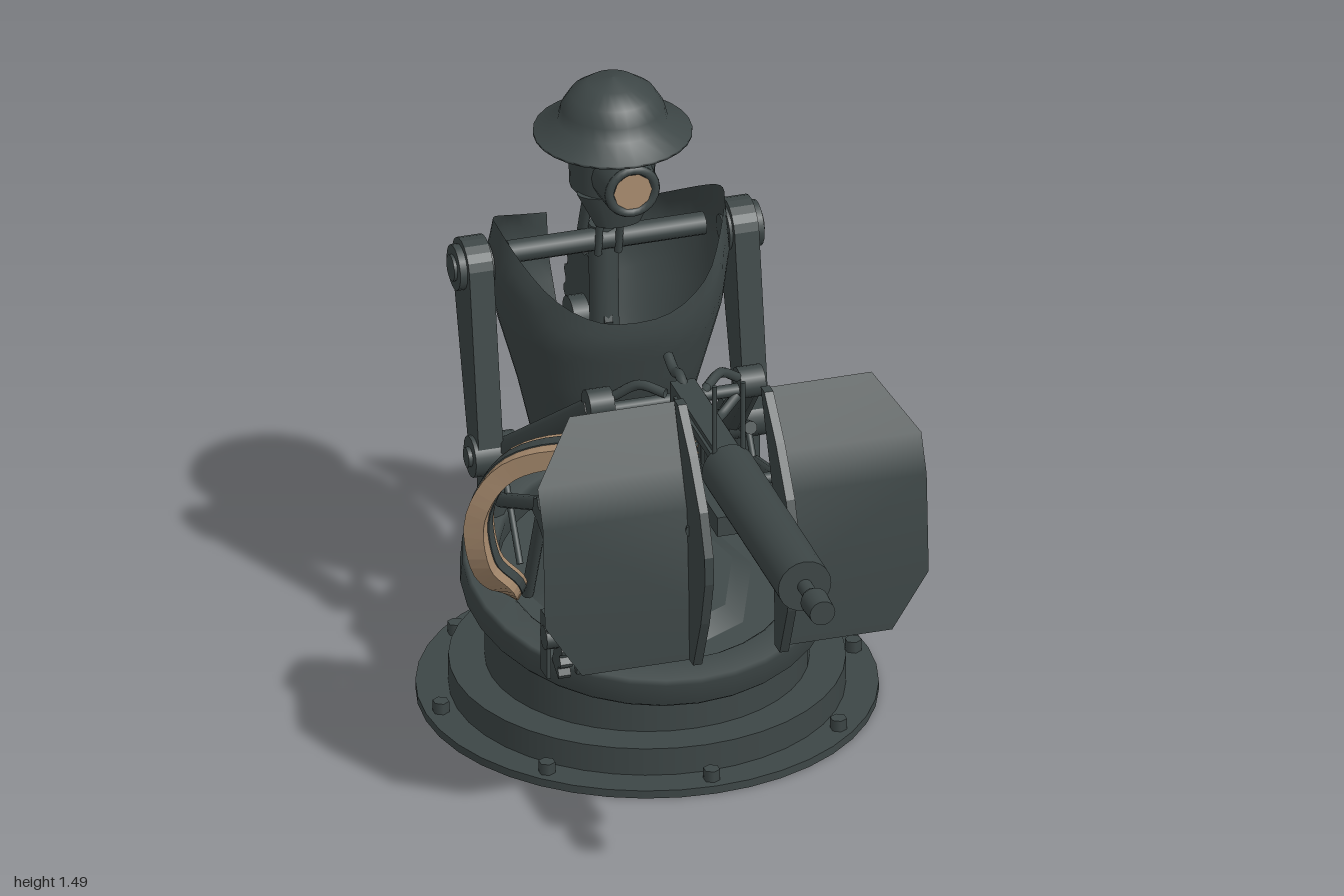
import * as THREE from 'three';

const V = (x, y, z) => new THREE.Vector3(x, y, z);

export function createModel() {
  const model = new THREE.Group();
  const iron = new THREE.MeshStandardMaterial({ color: 0x3d4646, side: THREE.DoubleSide });
  iron.name = 'dark iron';
  const tan = new THREE.MeshStandardMaterial({ color: 0xa98c6f, side: THREE.DoubleSide });
  tan.name = 'tan';

  const add = (name, geo, x = 0, y = 0, z = 0, mat = iron) => {
    const m = new THREE.Mesh(geo, mat);
    m.name = name;
    m.position.set(x, y, z);
    model.add(m);
    return m;
  };
  const box = (name, w, h, d, x, y, z) => add(name, new THREE.BoxGeometry(w, h, d), x, y, z);
  const rod = (name, a, b, r, r2 = r, n = 10) => {
    const m = add(name, new THREE.CylinderGeometry(r2, r, a.distanceTo(b), n));
    m.position.copy(a).lerp(b, 0.5);
    m.quaternion.setFromUnitVectors(V(0, 1, 0), b.clone().sub(a).normalize());
    return m;
  };
  const disc = (name, r, w, x, y, z, n = 18) => rod(name, V(x - w / 2, y, z), V(x + w / 2, y, z), r, r, n);
  const path = (name, pts, r) => add(name, new THREE.TubeGeometry(new THREE.CatmullRomCurve3(pts, false, 'centripetal'), 20, r, 8));
  // Side plate: outline in (z, y), thickness along x
  const plate = (name, pts, thick, x) => {
    const g = new THREE.ExtrudeGeometry(new THREE.Shape(pts.map(p => new THREE.Vector2(p[0], p[1]))), { depth: thick, bevelEnabled: false });
    g.translate(0, 0, -thick / 2).rotateY(-Math.PI / 2);
    return add(name, g, x);
  };
  // Tapered link outline around two (z, y) pivots
  const link = (name, a, ra, b, rb, thick, x) => {
    const dir = Math.atan2(b[1] - a[1], b[0] - a[0]), pts = [];
    for (const [c, r, start] of [[a, ra, Math.PI / 2], [b, rb, -Math.PI / 2]]) {
      for (let i = 0; i <= 10; i++) {
        const t = dir + start + i * Math.PI / 10;
        pts.push([c[0] + r * Math.cos(t), c[1] + r * Math.sin(t)]);
      }
    }
    return plate(name, pts, thick, x);
  };
  const arcTeeth = (c, ro, ri, from, to, teeth) => {
    const pts = [];
    for (let i = 0; i < teeth * 4; i++) {
      const t = from + (to - from) * i / (teeth * 4 - 1), r = i % 4 < 2 ? ro : ro - 0.014;
      pts.push([c[0] + r * Math.cos(t), c[1] + r * Math.sin(t)]);
    }
    if (ri) for (let i = 12; i >= 0; i--) {
      const t = from + (to - from) * i / 12;
      pts.push([c[0] + ri * Math.cos(t), c[1] + ri * Math.sin(t)]);
    }
    return pts;
  };

  // Base with bolts
  const cz = -0.375, tilt = 0.255;
  add('baseFlange', new THREE.CylinderGeometry(0.542, 0.542, 0.02, 40), 0, 0.01, cz);
  add('baseStep', new THREE.CylinderGeometry(0.465, 0.465, 0.07, 40), 0, 0.055, cz);
  for (let i = 0; i < 8; i++) {
    const t = i * Math.PI / 4;
    add('baseBolt', new THREE.CylinderGeometry(0.02, 0.02, 0.03, 6), 0.505 * Math.sin(t), 0.033, cz + 0.505 * Math.cos(t));
  }
  // Drum with sloping open rim
  const drum = new THREE.CylinderGeometry(0.38, 0.38, 0.2, 40, 1, true);
  const dp = drum.attributes.position;
  for (let i = 0; i < dp.count; i++) dp.setY(i, dp.getY(i) > 0 ? 0.315 - tilt * dp.getZ(i) : 0.08);
  add('drum', drum, 0, 0, cz);
  const slope = new THREE.Group();
  slope.name = 'slopingRing';
  slope.position.set(0, 0.315, cz);
  slope.rotation.x = Math.atan(tilt);
  model.add(slope);
  const ringProfile = [[0.35, -0.03], [0.36, -0.04], [0.43, -0.04], [0.438, -0.03], [0.438, 0.03], [0.43, 0.04], [0.36, 0.04], [0.35, 0.03], [0.35, -0.03]];
  slope.add(add('ring', new THREE.LatheGeometry(ringProfile.map(p => new THREE.Vector2(p[0], p[1])), 32)));
  slope.add(add('floor', new THREE.CylinderGeometry(0.37, 0.37, 0.02, 32), 0, -0.07, 0));
  slope.add(add('floorStep', new THREE.CylinderGeometry(0.22, 0.27, 0.03, 8), 0, -0.045, -0.03));

  // Torso shell: rows of [y, front z, back z, half width]
  const rows = [[0.48, -0.6, -0.76, 0.17], [0.7, -0.5, -0.85, 0.22], [0.88, -0.45, -0.91, 0.27], [1.0, -0.46, -0.915, 0.29], [1.13, -0.55, -0.8, 0.28]];
  const at = y => {
    let i = 0;
    while (i < rows.length - 2 && y > rows[i + 1][0]) i++;
    const t = (y - rows[i][0]) / (rows[i + 1][0] - rows[i][0]);
    return rows[i].map((v, k) => v + (rows[i + 1][k] - v) * t);
  };
  const torso = new THREE.PlaneGeometry(1, 1, 48, 12), tp = torso.attributes.position;
  for (let i = 0; i < tp.count; i++) {
    const a = tp.getX(i) * (2 * Math.PI - 0.44), s = Math.abs(Math.sin(a)), c = Math.cos(a);
    const top = c > 0 ? 0.93 + 0.2 * s ** 2.2 : 0.99 + 0.14 * s ** 1.6;
    const y = 0.48 + (top - 0.48) * (tp.getY(i) + 0.5), r = at(y);
    tp.setXYZ(i, r[3] * Math.sign(Math.sin(a)) * s ** 0.85, y, (r[1] + r[2]) / 2 + c * (r[1] - r[2]) / 2);
  }
  torso.computeVertexNormals();
  add('torsoShell', torso);
  rod('spine', V(0, 0.55, -0.7), V(0, 1.06, -0.72), 0.035);
  rod('collarBar', V(-0.24, 1.03, -0.7), V(0.24, 1.03, -0.7), 0.028);
  plate('backGear', arcTeeth([-0.83, 0.76], 0.168, 0, 0, Math.PI * 2, 18), 0.02, 0);
  disc('backGearHub', 0.05, 0.1, 0, 0.76, -0.83);

  // Neck
  disc('neckJoint', 0.03, 0.12, 0, 1.2, -0.69);
  // Head, mask and helmet
  add('skull', new THREE.CylinderGeometry(0.105, 0.1, 0.15, 24), 0, 1.28, -0.65);
  const jaw = add('jaw', new THREE.CylinderGeometry(0.1, 0.055, 0.09, 20), 0, 1.165, -0.605);
  jaw.scale.z = 0.5;
  rod('snout', V(0, 1.262, -0.58), V(0, 1.262, -0.49), 0.073, 0.068, 20);
  add('eyeRim', new THREE.TorusGeometry(0.056, 0.011, 8, 24), 0, 1.262, -0.49);
  add('eyeLens', new THREE.CircleGeometry(0.047, 10), 0, 1.262, -0.486, tan);
  const hat = [[0.1, 1.335], [0.187, 1.34], [0.187, 1.347], [0.13, 1.378], [0.122, 1.41], [0.1, 1.445], [0.06, 1.473], [0, 1.486]];
  add('helmet', new THREE.LatheGeometry(hat.map(p => new THREE.Vector2(p[0], p[1])), 28), 0, 0, -0.645);

  // Gun along z
  const gy = 0.912;
  const gun = (name, r1, z1, r2, z2, n = 20) => rod(name, V(0, gy, z1), V(0, gy, z2), r1, r2, n);
  gun('barrelJacket', 0.065, 0.26, 0.065, 0.86);
  gun('barrel', 0.018, 0.85, 0.018, 0.93);
  gun('muzzle', 0.024, 0.915, 0.034, 0.935);
  gun('muzzleTip', 0.034, 0.935, 0.031, 1.0);
  box('receiver', 0.06, 0.115, 0.37, 0, 0.905, 0.085);
  box('receiverRail', 0.075, 0.02, 0.3, 0, 0.94, 0.1);
  box('receiverLowerRail', 0.075, 0.02, 0.3, 0, 0.87, 0.1);
  for (let i = 0; i < 4; i++) box('receiverRib', 0.07, 0.07, 0.015, 0, 0.905, 0.24 - i * 0.08);
  path('topGrip', [V(0, 0.95, -0.08), V(0, 0.965, -0.12), V(0, 0.955, -0.16), V(0, 0.97, -0.21)], 0.013);
  box('cradle', 0.09, 0.05, 0.26, 0, 0.795, 0.19);
  box('cradlePost', 0.04, 0.05, 0.04, 0, 0.835, 0.27);
  rod('cradleAxle', V(-0.2, 0.765, 0.07), V(0.2, 0.765, 0.07), 0.014);
  rod('gripBar', V(-0.19, 0.88, -0.16), V(0.19, 0.88, -0.16), 0.016);

  // Belt: a ribbon swept along a curve, thin at the gun, with a dark band down each face
  const beltCurve = new THREE.CatmullRomCurve3([V(-0.04, 0.9, 0.14), V(-0.25, 0.885, 0.02), V(-0.42, 0.81, -0.09), V(-0.485, 0.68, -0.13), V(-0.465, 0.53, -0.15), V(-0.385, 0.42, -0.22), V(-0.33, 0.33, -0.36)]);
  const ribbon = (width, thick, shift) => {
    const pos = [], idx = [], N = 36, side = V(0.55, 0, -0.83).normalize();
    for (let i = 0; i <= N; i++) {
      const p = beltCurve.getPointAt(i / N), n = side.clone().cross(beltCurve.getTangentAt(i / N)).normalize();
      const h = thick / 2 - 0.014 * Math.max(0, 1 - i / 12);
      for (const [u, v] of [[-1, -1], [1, -1], [1, 1], [-1, 1]]) pos.push(...p.clone().addScaledVector(side, shift + u * width / 2).addScaledVector(n, v * h).toArray());
      if (i < N) for (let k = 0; k < 4; k++) {
        const a = i * 4 + k, b = i * 4 + (k + 1) % 4;
        idx.push(a, b, a + 4, b, b + 4, a + 4);
      }
    }
    const g = new THREE.BufferGeometry();
    g.setAttribute('position', new THREE.Float32BufferAttribute(pos, 3));
    g.setIndex(idx);
    const flat = g.toNonIndexed();
    flat.computeVertexNormals();
    return flat;
  };
  add('ammoBelt', ribbon(0.09, 0.048, 0), 0, 0, 0, tan);
  add('ammoBeltBand', ribbon(0.036, 0.054, 0.009));

  for (const s of [-1, 1]) {
    // Neck rods and legs
    rod('neckRod', V(s * 0.05, 1.0, -0.74), V(s * 0.045, 1.24, -0.66), 0.013);
    rod('neckFrontRod', V(s * 0.025, 1.0, -0.68), V(s * 0.025, 1.24, -0.64), 0.009);
    rod('legRod', V(s * 0.045, 0.28, -0.66), V(s * 0.045, 0.6, -0.68), 0.016);
    // Arms
    link('upperArm', [-0.7, 1.01], 0.07, [-0.595, 0.56], 0.042, 0.06, s * 0.325);
    disc('shoulderCap', 0.055, 0.085, s * 0.33, 1.01, -0.7);
    disc('shoulderBolt', 0.032, 0.1, s * 0.33, 1.01, -0.7);
    disc('elbow', 0.05, 0.11, s * 0.31, 0.56, -0.595);
    disc('elbowBolt', 0.024, 0.13, s * 0.31, 0.56, -0.595);
    rod('forearm', V(s * 0.275, 0.56, -0.595), V(s * 0.19, 0.885, -0.17), 0.036, 0.03);
    disc('wrist', 0.038, 0.06, s * 0.185, 0.895, -0.165);
    path('upperFinger', [V(s * 0.15, 0.92, -0.15), V(s * 0.1, 0.955, -0.12), V(s * 0.05, 0.95, -0.07)], 0.012);
    path('lowerFinger', [V(s * 0.15, 0.87, -0.15), V(s * 0.1, 0.84, -0.12), V(s * 0.05, 0.85, -0.06)], 0.012);
    // Struts to the shield
    rod('strut', V(s * 0.31, 0.47, -0.53), V(s * 0.2, 0.75, 0.1), 0.018);
    rod('elbowBar', V(s * 0.29, 0.585, -0.49), V(s * 0.29, 0.485, -0.75), 0.016);
    rod('shieldBrace', V(s * 0.19, 0.755, 0.08), V(s * 0.28, 0.775, 0.31), 0.016);
    box('shieldMount', 0.1, 0.11, 0.02, s * 0.28, 0.775, 0.3);
    rod('cradleArm', V(s * 0.04, 0.8, 0.1), V(s * 0.11, 0.8, 0.33), 0.016);
    rod('elbowPost', V(s * 0.31, 0.38, -0.6), V(s * 0.31, 0.56, -0.6), 0.035);
    rod('thinStay', V(s * 0.3, 0.36, -0.41), V(s * 0.3, 0.55, -0.54), 0.008);
    // Toothed arc between bracket plates on the ring
    plate('toothedArc', arcTeeth([-0.27, 0.385], 0.272, 0.215, -0.5, 1.4, 13), 0.03, s * 0.31);
    rod('arcSpoke', V(s * 0.31, 0.62, -0.2), V(s * 0.31, 0.33, -0.32), 0.015);
    for (const x of [0.275, 0.348]) box('bracketPlate', 0.01, 0.16, 0.05, s * x, 0.34, -0.055);
    rod('bracketAxle', V(s * 0.265, 0.36, -0.05), V(s * 0.355, 0.36, -0.05), 0.03);
    // Shield sheet: rows of [y, z, outer x]
    const sh = [[1.08, 0.2, 0.37], [0.94, 0.27, 0.47], [0.85, 0.312, 0.47], [0.6, 0.328, 0.47], [0.46, 0.33, 0.38]];
    const pos = [], idx = [];
    sh.forEach(([y, z, x], i) => {
      pos.push(s * 0.1, y, z, s * x, y, z);
      const k = i * 2;
      if (i < sh.length - 1) idx.push(...(s > 0 ? [k, k + 2, k + 1, k + 1, k + 2, k + 3] : [k, k + 1, k + 2, k + 1, k + 3, k + 2]));
    });
    const sheet = new THREE.BufferGeometry();
    sheet.setAttribute('position', new THREE.Float32BufferAttribute(pos, 3));
    sheet.setIndex(idx);
    sheet.computeVertexNormals();
    add('shield', sheet);
    plate('shieldFlange', [[0.21, 1.09], [0.24, 1.09], [0.33, 1.0], [0.41, 0.89], [0.45, 0.79], [0.452, 0.72], [0.42, 0.6], [0.36, 0.46], [0.32, 0.46], [0.31, 0.85]], 0.022, s * 0.106);
    rod('sightPost', V(s * 0.035, 0.95, 0.265), V(s * 0.035, 1.14, 0.265), 0.006);
  }
  return model;
}
